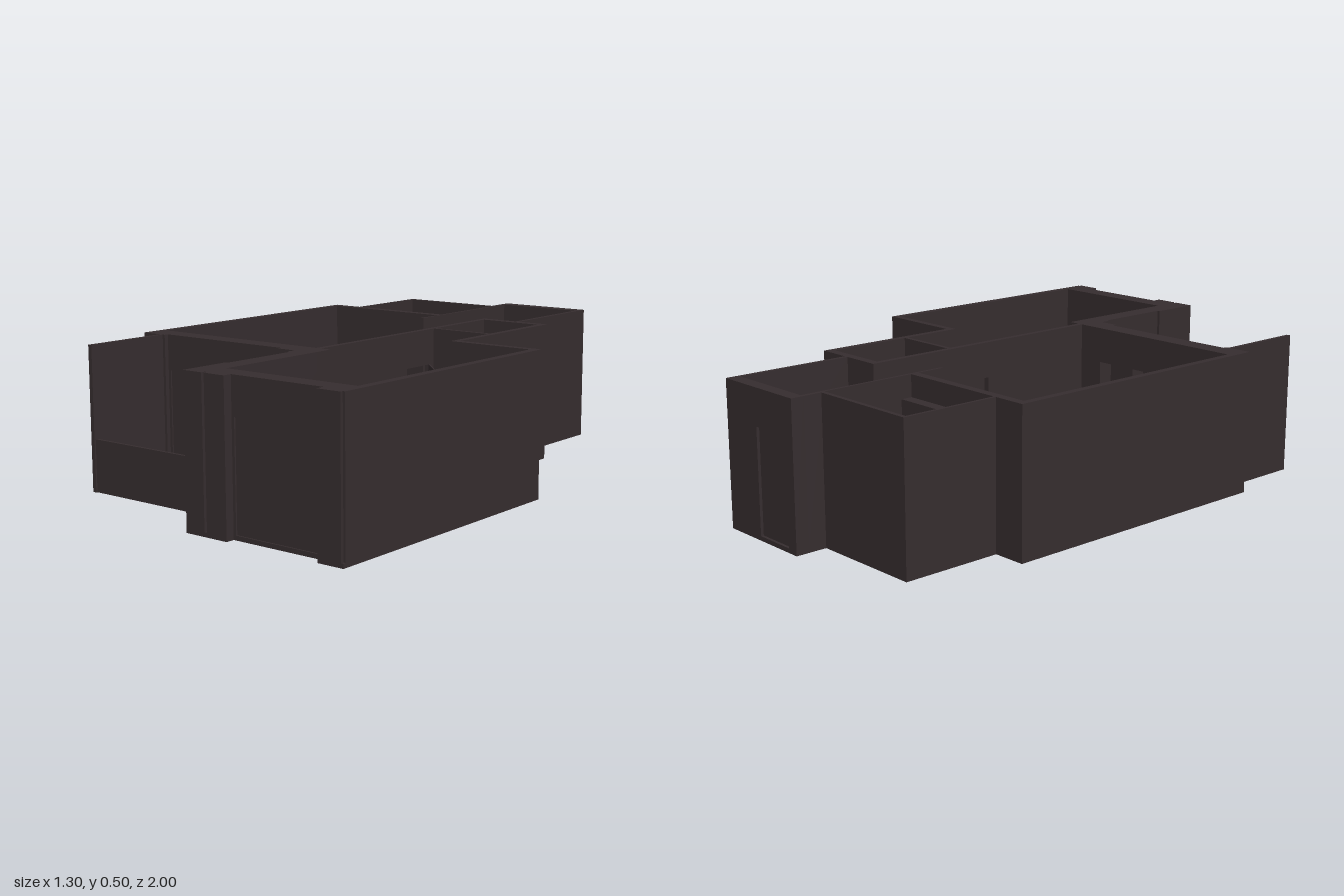
import * as THREE from 'three';

const H = 0.495;      // wall height
const FLOOR = 0.015;  // slab thickness
const HEAD = 0.37;    // top of doors and windows

export function createModel() {
  const model = new THREE.Group();
  model.name = 'roomPlan';
  const plaster = new THREE.MeshStandardMaterial({ color: 0x362d2f });
  plaster.name = 'dark plaster';

  const group = (name) => {
    const g = new THREE.Group();
    g.name = name;
    model.add(g);
    return g;
  };

  // Axis-aligned block given by its extents
  const block = (parent, name, x0, x1, z0, z1, y0 = 0, y1 = H) => {
    const mesh = new THREE.Mesh(new THREE.BoxGeometry(x1 - x0, y1 - y0, z1 - z0), plaster);
    mesh.position.set((x0 + x1) / 2, (y0 + y1) / 2, (z0 + z1) / 2);
    mesh.name = name;
    parent.add(mesh);
  };

  // Wall along x or z, with openings [from, to] cut up to the head height
  const wallWithOpenings = (parent, name, axis, x0, x1, z0, z1, openings) => {
    const put = (part, a, b, y0, y1) => axis === 'x'
      ? block(parent, name + part, a, b, z0, z1, y0, y1)
      : block(parent, name + part, x0, x1, a, b, y0, y1);
    let start = axis === 'x' ? x0 : z0;
    const end = axis === 'x' ? x1 : z1;
    for (const [a, b] of openings) {
      put('Pier', start, a, 0, H);
      put('Lintel', a, b, HEAD, H);
      start = b;
    }
    put('Pier', start, end, 0, H);
  };

  // Floor slab following the outer outline (x, z)
  const outline = [
    [-0.14, -1], [0.215, -1], [0.215, -0.54], [0.333, -0.54], [0.333, 0], [0.648, 0],
    [0.648, 1], [0.555, 1], [0.555, 0.97], [0.205, 0.97], [0.205, 1], [0.04, 1],
    [0.04, 0.82], [-0.575, 0.82], [-0.575, 0.505], [-0.65, 0.505], [-0.65, -0.54],
    [-0.535, -0.54], [-0.535, -0.89], [-0.14, -0.89],
  ];
  const shape = new THREE.Shape(outline.map(([x, z]) => new THREE.Vector2(x, -z)));
  const slab = new THREE.ExtrudeGeometry(shape, { depth: FLOOR, bevelEnabled: false });
  slab.rotateX(-Math.PI / 2);
  const floor = new THREE.Mesh(slab, plaster);
  floor.name = 'floor';
  model.add(floor);

  // Entrance hall with a shallow recessed front door
  const hall = group('entranceHall');
  wallWithOpenings(hall, 'hallBack', 'x', -0.14, 0.215, -1, -0.955, [[-0.1, 0.053]]);
  block(hall, 'entranceDoor', -0.1, 0.053, -0.99, -0.955, 0, HEAD);
  block(hall, 'hallRightWall', 0.2, 0.215, -0.955, -0.54);
  block(hall, 'hallCornerWall', -0.14, -0.125, -0.955, -0.88);
  wallWithOpenings(hall, 'hallBathroom', 'z', -0.135, -0.125, -0.88, -0.41, [[-0.765, -0.64]]);

  // Bathroom with ledge and split shower screen
  const bath = group('bathroom');
  block(bath, 'bathroomBackWall', -0.535, -0.135, -0.89, -0.875);
  block(bath, 'bathroomSideWall', -0.535, -0.525, -0.875, -0.54);
  block(bath, 'bathroomLedge', -0.455, -0.135, -0.58, -0.54, FLOOR, 0.42);
  block(bath, 'showerScreenBack', -0.363, -0.358, -0.875, -0.79, FLOOR, 0.42);
  block(bath, 'showerScreenFront', -0.363, -0.358, -0.68, -0.58, FLOOR, 0.42);

  // Living room
  const living = group('livingRoom');
  block(living, 'livingBackWall', -0.65, -0.135, -0.54, -0.51);
  block(living, 'livingSideWall', -0.65, -0.625, -0.51, 0.505);
  wallWithOpenings(living, 'livingFront', 'x', -0.625, 0.12, 0.42, 0.49,
    [[-0.54, -0.195], [-0.175, -0.035]]);
  block(living, 'livingFrontLeftFacing', -0.625, -0.55, 0.49, 0.505);
  block(living, 'livingFrontRightFacing', -0.03, 0.04, 0.49, 0.505);
  block(living, 'balconyWindow', -0.54, -0.195, 0.477, 0.485, 0, HEAD);
  block(living, 'balconyDoor', -0.175, -0.035, 0.477, 0.485, 0, HEAD);
  wallWithOpenings(living, 'spineWall', 'z', 0.06, 0.08, -0.54, 0.42,
    [[-0.385, -0.265], [-0.17, -0.04]]);

  // Store room and passage
  const store = group('storeRoom');
  block(store, 'storeBackWall', 0.06, 0.333, -0.54, -0.51);
  block(store, 'storeSideWall', 0.31, 0.333, -0.51, 0.02);
  block(store, 'storePartition', 0.08, 0.31, -0.21, -0.195);

  // Bedroom
  const bedroom = group('bedroom');
  block(bedroom, 'bedroomBackWall', 0.31, 0.648, 0, 0.025);
  block(bedroom, 'bedroomSideWall', 0.62, 0.648, 0.025, 0.97);
  block(bedroom, 'bedroomInnerWall', 0.05, 0.12, 0.42, 0.97);
  block(bedroom, 'innerWallRearFacing', 0.04, 0.05, 0.49, 0.54);
  block(bedroom, 'innerWallFrontFacing', 0.04, 0.05, 0.82, 0.97);
  wallWithOpenings(bedroom, 'bedroomFront', 'x', 0.12, 0.62, 0.9, 0.97, [[0.215, 0.55]]);
  block(bedroom, 'bedroomWindow', 0.215, 0.55, 0.957, 0.965, FLOOR, HEAD);
  block(bedroom, 'windowHandle', 0.372, 0.418, 0.888, 0.957, 0.19, 0.2);
  for (const [a, b] of [[0.04, 0.115], [0.125, 0.205], [0.555, 0.64]]) {
    block(bedroom, 'frontPilaster', a, b, 0.97, 1);
  }
  block(bedroom, 'pilasterJoint', 0.115, 0.125, 0.97, 0.985);
  block(bedroom, 'cornerStrip', 0.64, 0.648, 0.97, 0.99);

  // Balcony: tall side screen and low parapet
  const balcony = group('balcony');
  block(balcony, 'balconySideScreen', -0.575, -0.56, 0.49, 0.825);
  block(balcony, 'balconyParapet', -0.56, 0.045, 0.81, 0.82, 0, 0.18);

  // Open interior door leaves: hinge point to free edge
  const doors = [
    ['bathroomDoor', -0.12, -0.765, -0.035, -0.68],
    ['storeDoor', 0.065, -0.385, -0.018, -0.31],
    ['bedroomDoor', 0.08, -0.17, 0.172, -0.077],
  ];
  for (const [name, x0, z0, x1, z1] of doors) {
    const length = Math.hypot(x1 - x0, z1 - z0);
    const leaf = new THREE.Mesh(new THREE.BoxGeometry(length, HEAD - FLOOR, 0.005), plaster);
    leaf.position.set((x0 + x1) / 2, (HEAD + FLOOR) / 2, (z0 + z1) / 2);
    leaf.rotation.y = -Math.atan2(z1 - z0, x1 - x0);
    leaf.name = name;
    model.add(leaf);
  }
  return model;
}
